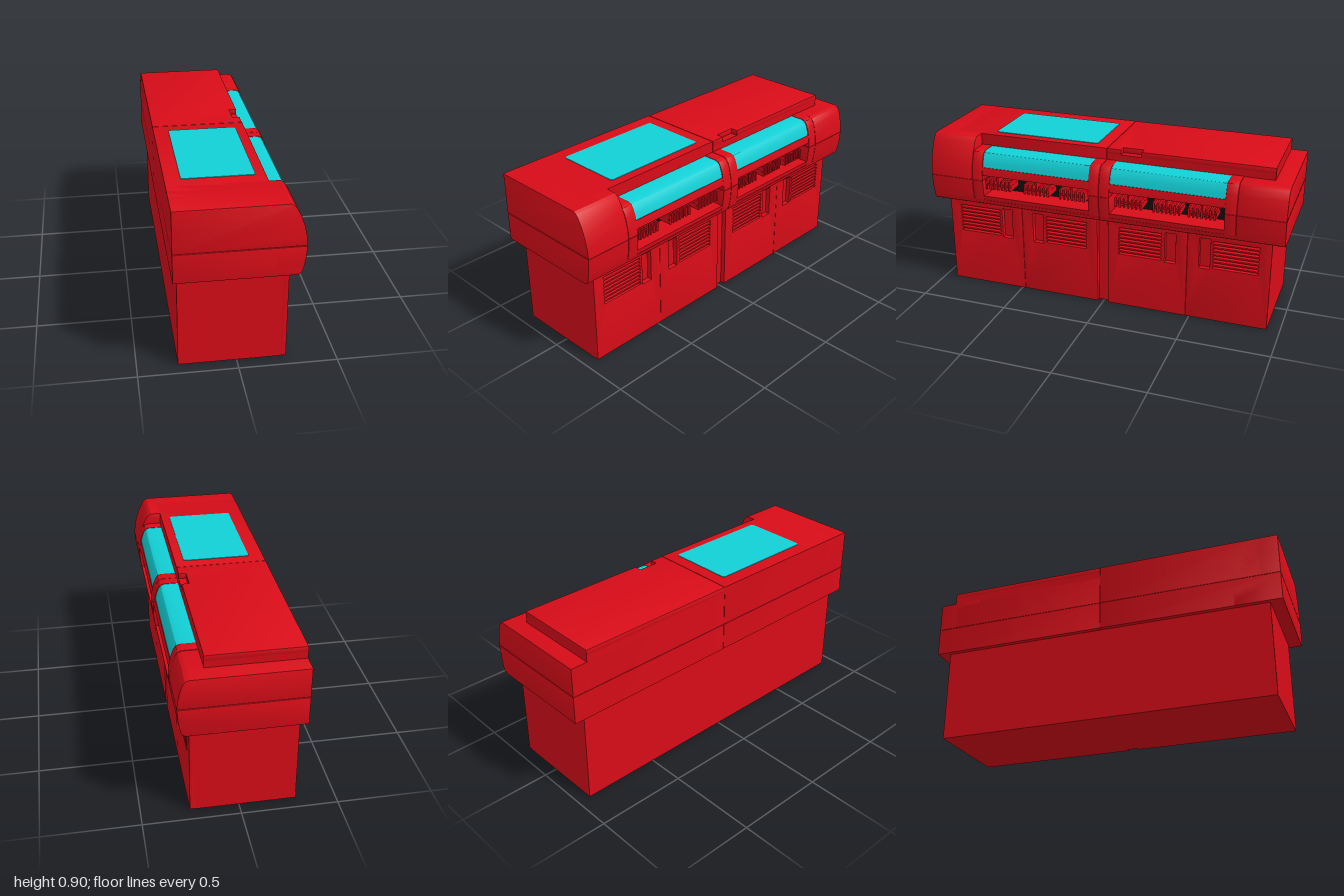
import * as THREE from 'three';
import { toCreasedNormals } from 'three/addons/utils/BufferGeometryUtils.js';

const red = new THREE.MeshStandardMaterial({ color: 0xd80c18 });
const cyan = new THREE.MeshStandardMaterial({ color: 0x12d0d6 });
const black = new THREE.MeshStandardMaterial({ color: 0x101010 });

// Curved front of the housing as [y, x] pairs, bottom to top
const CURVE = [[0.515, 0.275], [0.525, 0.293], [0.55, 0.302], [0.6, 0.311], [0.67, 0.316], [0.72, 0.311],
  [0.775, 0.299], [0.83, 0.279], [0.87, 0.258], [0.885, 0.246], [0.895, 0.23]];

function curveX(y) {
  for (let i = 1; i < CURVE.length; i++) {
    const [y0, x0] = CURVE[i - 1], [y1, x1] = CURVE[i];
    if (y <= y1) return x0 + (x1 - x0) * (y - y0) / (y1 - y0);
  }
  return CURVE[CURVE.length - 1][1];
}

// Slice of the housing profile between two heights; round softens the top front corner
function section(x0, y0, y1, { inset = 0, round = 0 } = {}) {
  const top = y1 - round;
  const ys = [y0, ...CURVE.map((p) => p[0]).filter((y) => y > y0 + 0.002 && y < top - 0.002), top];
  const pts = [[x0, y0], ...ys.map((y) => [curveX(y) - inset, y])];
  if (round) {
    const x = curveX(top) - inset;
    pts.push([x - round * 0.5, y1 - round * 0.3], [x - round * 1.3, y1]);
  }
  pts.push([x0, y1]);
  return pts;
}

const rect = (x0, y0, x1, y1) => [[x0, y0], [x1, y0], [x1, y1], [x0, y1]];
const toPoints = (pts) => pts.map((p) => new THREE.Vector2(p[0], p[1]));

function extrude(pts, depth, bevel, holes = []) {
  const shape = new THREE.Shape(toPoints(pts));
  for (const h of holes) shape.holes.push(new THREE.Path(toPoints(h)));
  const geo = new THREE.ExtrudeGeometry(shape, {
    depth: depth - 2 * bevel, bevelEnabled: bevel > 0, bevelThickness: bevel,
    bevelSize: bevel, bevelOffset: -bevel, bevelSegments: 2,
  });
  geo.translate(0, 0, bevel);
  return toCreasedNormals(geo, 0.5);
}

export function createModel() {
  const root = new THREE.Group();

  function add(name, geo, mat = red, parent = root) {
    const mesh = new THREE.Mesh(geo, mat);
    mesh.name = name;
    parent.add(mesh);
    return mesh;
  }
  // Profile swept along z between two positions
  function slab(name, pts, za, zb, mat = red, bevel = 0.004) {
    const z0 = Math.min(za, zb);
    const mesh = add(name, extrude(pts, Math.abs(zb - za), bevel), mat);
    mesh.position.z = z0;
    return mesh;
  }
  function box(name, x0, x1, y0, y1, z0, z1, mat = red, parent = root) {
    const geo = new THREE.BoxGeometry(x1 - x0, y1 - y0, Math.abs(z1 - z0));
    const mesh = add(name, geo, mat, parent);
    mesh.position.set((x0 + x1) / 2, (y0 + y1) / 2, (z0 + z1) / 2);
    return mesh;
  }

  // Base cabinet
  box('baseCabinet', -0.295, 0.225, 0, 0.52, -0.93, 0.93);

  // Cabinet doors with louvre slots and a recessed grip
  const doors = [
    { span: [0.03, 0.48], grip: [0.355, 0.415], vent: [0.095, 0.335] },
    { span: [0.48, 0.93], grip: [0.545, 0.605], vent: [0.62, 0.865] },
  ];
  for (const s of [1, -1]) {
    for (const d of doors) {
      const hole = ([a, b], y0, y1) => rect(Math.min(s * a, s * b), y0, Math.max(s * a, s * b), y1);
      const holes = [hole(d.grip, 0.31, 0.485)];
      for (let i = 0; i < 8; i++) holes.push(hole(d.vent, 0.318 + i * 0.021, 0.329 + i * 0.021));
      const door = add('cabinetDoor', extrude(hole(d.span, 0.002, 0.515), 0.03, 0.003, holes));
      door.rotation.y = Math.PI / 2;
      door.position.x = 0.222;
    }
  }

  // Housing cores, split at the waist and in the middle
  const back = -0.32, step = 0.175;
  for (const s of [1, -1]) {
    slab('lowerHousing', rect(back, 0.515, step, 0.669), 0, s, red);
    slab('lowerEnd', section(back, 0.515, 0.669), s * 0.745, s);
    slab('lowerLip', section(0.1, 0.515, 0.55), 0, s);
  }
  slab('leftUpperHousing', rect(back, 0.671, step, 0.895), 0, 0.9);
  slab('leftUpperEnd', section(back, 0.671, 0.895), 0.745, 1);
  slab('rightUpperHousing', rect(back, 0.671, step, 0.83), 0, -0.9);
  slab('rightUpperEnd', section(back, 0.671, 0.83, { round: 0.025 }), -0.745, -1);

  // Raised lid with a finger notch in its front edge
  const lid = add('raisedLid', extrude([[back, 0.001], [step, 0.001], [step, 0.08], [0.135, 0.08],
    [0.135, 0.195], [step, 0.195], [step, 0.908], [back, 0.908]], 0.032, 0.003));
  lid.rotation.x = -Math.PI / 2;
  lid.position.y = 0.863;
  box('lidBase', back, step, 0.82, 0.866, -0.908, -0.001);

  // Glass plate on the flat top
  const gx0 = -0.24, gx1 = 0.125, gz0 = 0.07, gz1 = 0.675, r = 0.012;
  const corners = [[gx1 - r, -gz1 + r, -90], [gx1 - r, -gz0 - r, 0], [gx0 + r, -gz0 - r, 90], [gx0 + r, -gz1 + r, 180]];
  const outline = corners.flatMap(([x, y, a]) => [0, 30, 60, 90].map((t) => {
    const k = THREE.MathUtils.degToRad(a + t);
    return [x + r * Math.cos(k), y + r * Math.sin(k)];
  }));
  const glass = add('topGlass', extrude(outline, 0.006, 0), cyan);
  glass.rotation.x = -Math.PI / 2;
  glass.position.y = 0.892;

  // Two front bays: posts, sill, header, window and dark recess with combs
  for (const s of [1, -1]) {
    for (const [a, b] of [[0, 0.06], [0.682, 0.745]]) {
      slab('bayPostLower', section(0.15, 0.55, 0.669), s * a, s * b);
      slab('bayPostUpper', section(0.15, 0.671, 0.832, { round: 0.025 }), s * a, s * b);
    }
    const z0 = s * 0.055, z1 = s * 0.687;
    slab('baySill', section(0.15, 0.55, 0.575, { inset: 0.002 }), z0, z1, red, 0);
    slab('bayHeader', section(0.15, 0.7, 0.745, { inset: 0.002 }), z0, z1, red, 0);
    slab('bayWindow', section(0.15, 0.745, 0.829, { inset: 0.005, round: 0.025 }), z0, z1, cyan, 0);
    box('recessBack', 0.17, 0.18, 0.57, 0.705, z0, z1, black);

    for (const c of [0.16, 0.37, s > 0 ? 0.6 : 0.56]) {
      const comb = new THREE.Group();
      comb.name = 'comb';
      comb.position.z = s * c;
      root.add(comb);
      box('combBar', 0.19, 0.285, 0.635, 0.647, -0.075, 0.075, red, comb);
      for (let i = -3; i <= 3; i++) {
        const z = i * 0.023;
        box('combTooth', 0.185, 0.295, 0.615, i === 0 ? 0.702 : 0.67, z - 0.005, z + 0.005, red, comb);
      }
    }
  }
  return root;
}
